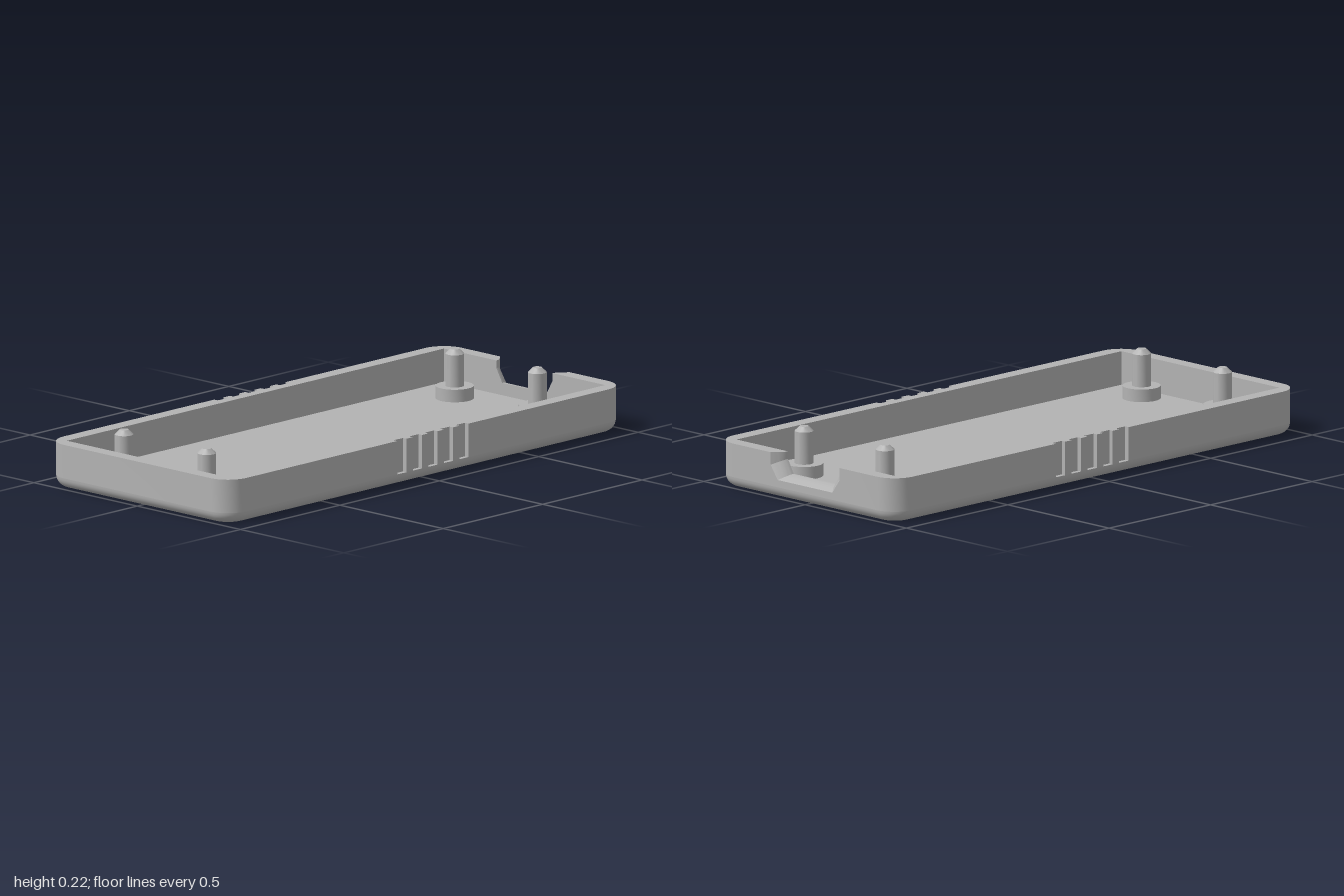
import * as THREE from 'three';
import { toCreasedNormals } from 'three/addons/utils/BufferGeometryUtils.js';

const W = 0.443, L = 1, R = 0.088;          // half width, half length, corner radius
const IW = 0.39, IL = 0.948;                // cavity half sizes
const FLOOR = 0.04, RIM = 0.16, GAP = 0.2;  // floor height, rim height, half width of port section

// Quarter-circle corner points around (cx, cy), from angle a0 to a1
function arc(cx, cy, r, a0, a1, n = 10) {
  return Array.from({ length: n + 1 }, (_, i) => {
    const a = a0 + (a1 - a0) * i / n;
    return new THREE.Vector2(cx + r * Math.cos(a), cy + r * Math.sin(a));
  });
}

// Rounded rectangle outline, shrunk by inset
function outline(inset) {
  const q = Math.PI / 2, pts = [];
  [[1, 1], [-1, 1], [-1, -1], [1, -1]].forEach(([sx, sy], k) =>
    pts.push(...arc(sx * (W - R), sy * (L - R), R - inset, k * q, (k + 1) * q)));
  return pts;
}

// Rounded lower edge, lofted through shrinking outlines
function filletGeometry() {
  const steps = 8, pos = [], idx = [];
  let n = 0;
  for (let s = 0; s <= steps; s++) {
    const a = s / steps * Math.PI / 2;
    const ring = outline(FLOOR * (1 - Math.sin(a)));
    n = ring.length;
    ring.forEach(p => pos.push(p.x, FLOOR * (1 - Math.cos(a)), p.y));
  }
  for (let s = 0; s < steps; s++) {
    for (let j = 0; j < n; j++) {
      const a = s * n + j, b = s * n + (j + 1) % n;
      idx.push(a, a + n, b, b, a + n, b + n);
    }
  }
  const g = new THREE.BufferGeometry();
  g.setAttribute('position', new THREE.Float32BufferAttribute(pos, 3));
  g.setIndex(idx);
  g.computeVertexNormals();
  return g;
}

// Side walls with grip grooves, open at the back for the port section
function wallGeometry() {
  const half = [new THREE.Vector2(GAP, L), ...arc(W - R, L - R, R, Math.PI / 2, 0)];
  for (let i = 0; i < 5; i++) {
    const y = 0.183 - i * 0.078, h = 0.023, d = W - 0.017;
    [[W, y + h], [d, y + h], [d, y - h], [W, y - h]].forEach(p => half.push(new THREE.Vector2(...p)));
  }
  half.push(...arc(W - R, -L + R, R, 0, -Math.PI / 2));
  const mirrored = half.map(p => new THREE.Vector2(-p.x, p.y)).reverse();
  const inner = [[-GAP, IL], [-IW, IL], [-IW, -IL], [IW, -IL], [IW, IL], [GAP, IL]]
    .map(p => new THREE.Vector2(...p));
  const g = new THREE.ExtrudeGeometry(new THREE.Shape([...half, ...mirrored, ...inner]),
    { depth: RIM - FLOOR, bevelEnabled: false });
  g.rotateX(-Math.PI / 2).translate(0, FLOOR, 0);
  return toCreasedNormals(g, 0.5);
}

// Back wall section with a notch that flares towards the outside
function portGeometry() {
  const side = [[GAP, FLOOR], [GAP, RIM], [0.17, RIM], [0.17, 0.115], [0.135, 0.066]];
  const pts = [...side, ...side.map(([x, y]) => [-x, y]).reverse()].map(p => new THREE.Vector2(...p));
  const depth = L - IL;
  const g = new THREE.ExtrudeGeometry(new THREE.Shape(pts), { depth, steps: 8, bevelEnabled: false });
  const p = g.attributes.position;
  for (let i = 0; i < p.count; i++) {
    if (Math.abs(p.getX(i)) > 0.19) continue;
    const t = Math.sin(p.getZ(i) / depth * Math.PI / 2);
    p.setX(i, p.getX(i) * (1 - 0.2 * t));
    if (p.getY(i) < RIM - 0.01) p.setY(i, p.getY(i) + 0.018 * t);
  }
  g.translate(0, 0, -L);
  return toCreasedNormals(g, 0.4);
}

export function createModel() {
  const model = new THREE.Group();
  model.name = 'enclosureHalf';
  const plastic = new THREE.MeshStandardMaterial({ color: 0xb3b3b3 });
  plastic.name = 'grey plastic';
  const add = (name, geometry) => {
    const mesh = new THREE.Mesh(geometry, plastic);
    mesh.name = name;
    model.add(mesh);
    return mesh;
  };

  // Base tray
  add('roundedBottomEdge', filletGeometry());
  add('underside', new THREE.ShapeGeometry(new THREE.Shape(outline(FLOOR))).rotateX(Math.PI / 2));
  add('floor', new THREE.ShapeGeometry(new THREE.Shape(outline(0))).rotateX(-Math.PI / 2).translate(0, FLOOR, 0));

  // Walls
  add('wall', wallGeometry());
  add('portNotch', portGeometry());

  // Mounting pins on round bosses
  const profile = [[0.067, FLOOR], [0.067, 0.085], [0.033, 0.085], [0.033, 0.2], [0.016, 0.217], [0, 0.217]]
    .map(p => new THREE.Vector2(...p));
  const pin = toCreasedNormals(new THREE.LatheGeometry(profile, 32), 0.5);
  for (const x of [-0.2, 0.2]) {
    for (const z of [-0.805, 0.858]) add('mountingPin', pin).position.set(x, 0, z);
  }
  return model;
}
